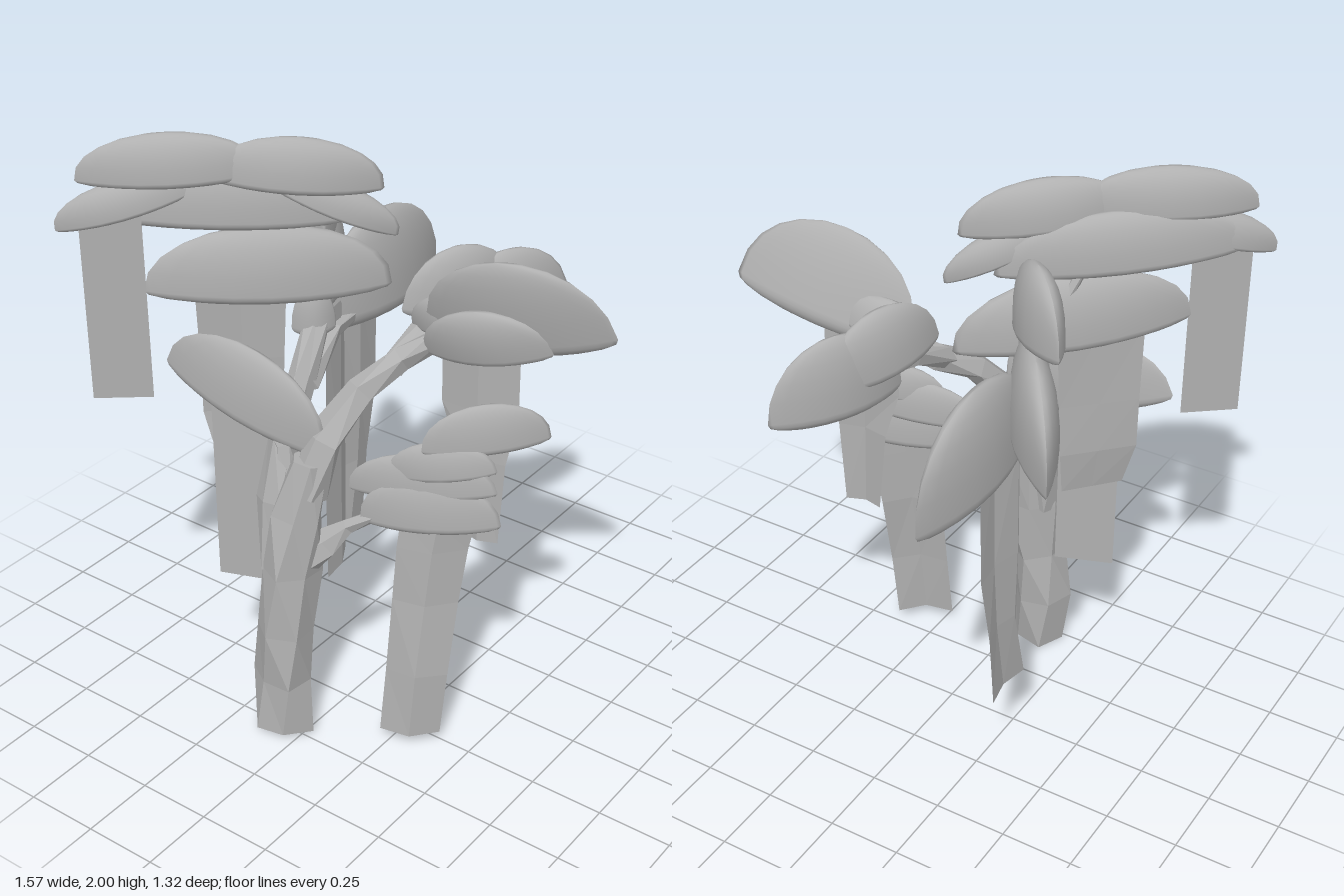
import * as THREE from 'three';

const V = (x, y, z) => new THREE.Vector3(x, y, z);
const grey = new THREE.MeshStandardMaterial({ color: 0xb0b0b0 });
grey.name = 'grey';
const greyFaceted = grey.clone();
greyFaceted.flatShading = true;
greyFaceted.side = THREE.DoubleSide;

// Foliage pad: dome between two tips, lens-shaped in plan, leaning sideways if asked
function pad(name, a, b, height, width, lean = 0) {
  const g = new THREE.SphereGeometry(1, 20, 12);
  const p = g.attributes.position;
  const A = V(...a), B = V(...b), u = B.clone().sub(A);
  const half = u.length() / 2;
  u.normalize();
  const side = V(u.x, 0, u.z).cross(V(0, 1, 0)).normalize().applyAxisAngle(u, lean);
  const up = side.clone().cross(u).normalize();
  for (let i = 0; i < p.count; i++) {
    const x = p.getX(i), y = p.getY(i), z = p.getZ(i);
    const pinch = Math.sqrt(Math.max(0, 1 - x * x));
    const full = Math.sign(y) * Math.pow(Math.abs(y), 0.9);
    p.setXYZ(i, x * half, full * height * (y < 0 ? 0.22 : 1), z * pinch * width / 2);
  }
  g.applyMatrix4(new THREE.Matrix4().makeBasis(u, up, side).setPosition(A.add(B).multiplyScalar(0.5)));
  g.computeVertexNormals();
  const m = new THREE.Mesh(g, grey);
  m.name = name;
  return m;
}

// Lofts rows of points into a surface
function loft(name, rows) {
  const pos = rows.flat().flatMap(v => [v.x, v.y, v.z]);
  const n = rows[0].length, idx = [];
  for (let r = 0; r < rows.length - 1; r++)
    for (let i = 0; i < n - 1; i++) {
      const k = r * n + i;
      idx.push(k, k + 1, k + n, k + 1, k + n + 1, k + n);
    }
  const g = new THREE.BufferGeometry();
  g.setAttribute('position', new THREE.Float32BufferAttribute(pos, 3));
  g.setIndex(idx);
  g.computeVertexNormals();
  const m = new THREE.Mesh(g, greyFaceted);
  m.name = name;
  return m;
}

// Rough faceted limb: points are [x, y, z, radius]
function limb(name, pts, sides = 6) {
  const rows = pts.map((p, k) => {
    const a = V(...pts[Math.max(0, k - 1)]), b = V(...pts[Math.min(pts.length - 1, k + 1)]);
    const q = new THREE.Quaternion().setFromUnitVectors(V(0, 1, 0), b.sub(a).normalize());
    const ring = [];
    for (let i = 0; i <= sides; i++) {
      const j = i % sides, t = j / sides * Math.PI * 2 + k * 0.25;
      const r = p[3] * (1 + 0.13 * Math.sin(j * 2.7 + k * 1.9));
      ring.push(V(-Math.cos(t) * r, 0, Math.sin(t) * r).applyQuaternion(q).add(V(p[0], p[1], p[2])));
    }
    return ring;
  });
  const c = rows.map((r, k) => V(pts[k][0], pts[k][1], pts[k][2]));
  rows.unshift(rows[0].map(() => c[0]));
  rows.push(rows[rows.length - 1].map(() => c[c.length - 1]));
  return loft(name, rows);
}

// Hanging strip with a shallow ridge: rows are [y, x0, z0, x1, z1]
function strip(name, rows, ridge = 0.02) {
  return loft(name, rows.map(([y, x0, z0, x1, z1]) => {
    const d = V(x1 - x0, 0, z1 - z0).normalize();
    return [V(x0, y, z0), V((x0 + x1) / 2 - d.z * ridge, y, (z0 + z1) / 2 + d.x * ridge), V(x1, y, z1)];
  }));
}

export function createModel() {
  const model = new THREE.Group();
  model.name = 'tree';
  const pads = new THREE.Group(), wood = new THREE.Group(), strips = new THREE.Group();
  pads.name = 'foliage'; wood.name = 'wood'; strips.name = 'hangingStrips';
  model.add(pads, wood, strips);

  // Foliage: tip, tip, height, width, lean
  const foliage = {
    crownPad: [
      [[-0.73, 1.85, 0.61], [-0.28, 1.87, 0.26], 0.14, 0.13],
      [[-0.41, 1.86, 0.37], [0, 1.81, 0.03], 0.145, 0.13],
      [[-0.78, 1.69, 0.66], [-0.45, 1.81, 0.4], 0.1, 0.11],
      [[-0.28, 1.83, 0.25], [0.03, 1.65, 0], 0.09, 0.11],
      [[-0.72, 1.73, 0.57], [-0.11, 1.69, 0.06], 0.17, 0.13]],
    middlePad: [[[-0.58, 1.48, 0.5], [-0.03, 1.45, -0.05], 0.21, 0.16]],
    frontPad: [[[-0.57, 1.21, 0.43], [0.02, 1.04, 0.38], 0.22, 0.11]],
    lowPad: [
      [[0.13, 0.83, 0.34], [0.54, 0.86, 0.16], 0.16, 0.09],
      [[0.08, 0.92, 0.33], [0.53, 0.98, 0.17], 0.13, 0.08],
      [[0.21, 1.0, 0.3], [0.52, 1.05, 0.16], 0.11, 0.08],
      [[0.32, 1.11, 0.28], [0.61, 1.13, 0.0], 0.14, 0.08]],
    leftPad: [
      [[0.18, 1.37, 0.03], [0.79, 1.5, -0.05], 0.28, 0.11, 0.28],
      [[0.2, 1.34, 0.09], [0.61, 1.42, 0.01], 0.16, 0.1, 0.28],
      [[0.1, 1.37, 0.02], [0.42, 1.43, -0.02], 0.12, 0.1, 0.2]],
    backLeftPad: [
      [[0.08, 1.43, 0.05], [0.24, 1.36, -0.33], 0.2, 0.12],
      [[0.14, 1.3, -0.08], [0.34, 1.31, -0.52], 0.24, 0.12]],
    backPad: [[[-0.28, 1.21, -0.66], [-0.28, 1.25, 0.02], 0.31, 0.15]],
    backRightPad: [
      [[-0.57, 1.31, -0.41], [-0.19, 1.38, 0.1], 0.25, 0.15],
      [[-0.49, 1.64, -0.21], [-0.18, 1.6, 0.1], 0.21, 0.14]],
    innerPad: [[[-0.24, 1.33, 0.2], [-0.14, 1.33, 0.1], 0.14, 0.07]],
  };
  for (const [name, list] of Object.entries(foliage))
    for (const f of list) pads.add(pad(name, ...f));

  // Trunk and branches
  wood.add(
    limb('trunk', [[-0.08, 0.01, 0.48, 0.1], [-0.09, 0.2, 0.47, 0.1], [-0.08, 0.4, 0.47, 0.1], [-0.07, 0.62, 0.45, 0.095],
      [-0.05, 0.82, 0.43, 0.08], [-0.02, 1.02, 0.4, 0.06]]),
    limb('rightStem', [[-0.1, 0.62, 0.45, 0.07], [-0.13, 0.85, 0.43, 0.065], [-0.14, 1.05, 0.37, 0.055],
      [-0.16, 1.2, 0.26, 0.045], [-0.19, 1.36, 0.12, 0.04], [-0.24, 1.5, 0.05, 0.025]]),
    limb('leftBranch', [[-0.02, 0.9, 0.42, 0.06], [0.01, 1.08, 0.36, 0.06], [0.06, 1.22, 0.24, 0.05],
      [0.13, 1.3, 0.12, 0.045], [0.22, 1.37, 0.04, 0.035], [0.38, 1.43, 0.01, 0.02]], 5),
    limb('backLeftBranch', [[0.11, 1.28, 0.15, 0.04], [0.13, 1.37, -0.02, 0.035], [0.2, 1.36, -0.2, 0.02]], 5),
    limb('crownBranch', [[-0.18, 1.32, 0.14, 0.03], [-0.26, 1.5, 0.13, 0.022], [-0.35, 1.74, 0.23, 0.015]], 5),
    limb('backBranch', [[-0.15, 1.18, 0.25, 0.04], [-0.23, 1.24, 0, 0.03], [-0.29, 1.22, -0.3, 0.02]], 5),
    limb('frontBranch', [[-0.09, 0.9, 0.42, 0.04], [-0.12, 1.04, 0.4, 0.035], [-0.22, 1.16, 0.4, 0.02]], 5),
    limb('lowBranch', [[-0.05, 0.64, 0.43, 0.06], [0.03, 0.72, 0.38, 0.045], [0.09, 0.79, 0.35, 0.025], [0.2, 0.86, 0.3, 0.02]], 5));

  // Strips hanging below the pads
  strips.add(
    strip('crownStrip', [[1.105, -0.72, 0.62, -0.57, 0.5], [1.75, -0.72, 0.62, -0.57, 0.5]], 0),
    strip('middleStripUpper', [[0.87, -0.44, 0.36, -0.3, 0.2], [1.02, -0.48, 0.37, -0.3, 0.18], [1.2, -0.48, 0.37, -0.29, 0.18],
      [1.47, -0.48, 0.38, -0.28, 0.17]], 0),
    strip('middleStripLower', [[0.46, -0.39, 0.43, -0.2, 0.36], [1.12, -0.39, 0.43, -0.2, 0.36]], 0),
    strip('lowStrip', [[0.04, 0.22, 0.36, 0.39, 0.26], [0.28, 0.23, 0.34, 0.41, 0.25], [0.55, 0.24, 0.32, 0.42, 0.21],
      [0.75, 0.25, 0.31, 0.44, 0.19], [0.86, 0.26, 0.3, 0.46, 0.18]], 0.035),
    strip('leftStrip', [[0.68, 0.31, 0.03, 0.44, 0.02], [0.98, 0.28, 0.03, 0.46, 0.02], [1.15, 0.23, 0.04, 0.49, 0],
      [1.4, 0.23, 0.04, 0.49, 0]]),
    strip('backStrip', [[0.32, -0.33, -0.08, -0.33, -0.28], [0.6, -0.33, -0.15, -0.33, -0.31], [0.85, -0.33, -0.14, -0.32, -0.35],
      [1.25, -0.32, -0.13, -0.3, -0.33]]),
    strip('backRightStrip', [[0.32, -0.2, 0.09, -0.27, -0.1], [0.7, -0.21, 0.08, -0.28, -0.12], [1.32, -0.22, 0.05, -0.3, -0.15]]));
  return model;
}
